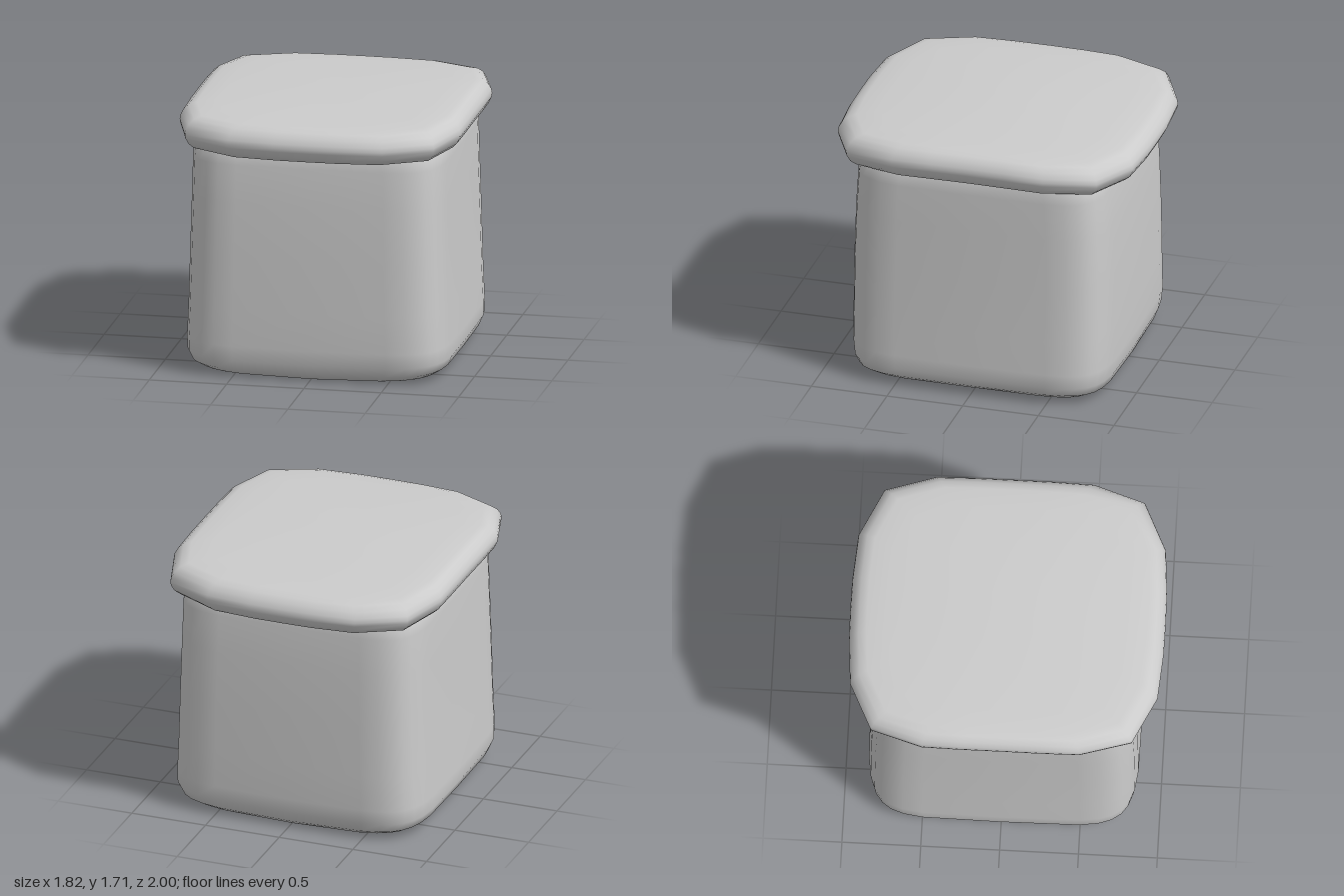
import * as THREE from 'three';

// Skins a stack of scaled outlines, bottom to top. Each ring is [scaleX, scaleZ, y];
// the first and last rings close to a single centre point. bend(x, y, z) adjusts the height.
function loft(outline, rings, bottomY, topY, bend) {
  const n = outline.length, pos = [], index = [];
  const add = (x, y, z) => pos.push(x, bend(x, y, z), z);
  for (const [sx, sz, y] of rings) for (const [x, z] of outline) add(x * sx, y, z * sz);
  add(0, bottomY, 0);
  add(0, topY, 0);
  const bottom = rings.length * n, top = bottom + 1, last = (rings.length - 1) * n;
  for (let j = 0; j < n; j++) {
    const k = (j + 1) % n;
    for (let i = 0; i < rings.length - 1; i++) {
      const a = i * n + j, b = i * n + k;
      index.push(a, a + n, b, b, a + n, b + n);
    }
    index.push(bottom, j, k, top, last + k, last + j);
  }
  const geo = new THREE.BufferGeometry();
  geo.setAttribute('position', new THREE.Float32BufferAttribute(pos, 3));
  geo.setIndex(index);
  geo.computeVertexNormals();
  return geo;
}

// Rounded square with slightly bulging sides
function superellipse(power, count) {
  const f = (v) => Math.sign(v) * Math.abs(v) ** (2 / power);
  return Array.from({ length: count }, (_, i) => {
    const t = (i / count) * Math.PI * 2;
    return [f(Math.cos(t)), f(Math.sin(t))];
  });
}

// Quarter outline from +x to +z, mirrored into a full loop
function mirrorQuarter(q) {
  const half = [...q, ...q.slice(0, -1).reverse().map(([x, z]) => [-x, z])];
  return [...half, ...half.slice(1, -1).reverse().map(([x, z]) => [x, -z])];
}

export function createModel() {
  const group = new THREE.Group();
  group.name = 'pouf';
  const material = new THREE.MeshStandardMaterial({ color: 0xcccccc });
  const addPart = (name, geo) => {
    const mesh = new THREE.Mesh(geo, material);
    mesh.name = name;
    group.add(mesh);
  };

  // Soft upholstered base, wider near the floor; the underside sags at front and back
  const bodyRings = [
    [0.4, 0.4, 0.03], [0.68, 0.68, 0.03], [0.78, 0.77, 0.035], [0.83, 0.825, 0.07], [0.855, 0.85, 0.13],
    [0.855, 0.86, 0.22], [0.845, 0.858, 0.45], [0.835, 0.855, 0.8], [0.825, 0.845, 1.15],
    [0.82, 0.83, 1.4], [0.81, 0.81, 1.52], [0.75, 0.75, 1.56],
  ];
  addPart('base', loft(superellipse(6, 32), bodyRings, 0.03, 1.56, (x, y, z) => {
    const fade = Math.max(0, 1 - y / 0.3);
    const sag = Math.min(1, (z / 0.76) ** 2) * Math.max(0, 1 - (x / 0.8) ** 2);
    return y - 0.032 * sag * fade;
  }));

  // Overhanging seat cushion with a rounded rim, drooping towards front and back
  const outline = mirrorQuarter([
    [0.912, 0], [0.912, 0.25], [0.907, 0.5], [0.805, 0.828], [0.5, 0.975], [0.2, 0.998], [0, 1],
  ]);
  const seatRings = [
    [0.5, 1.49], [0.8, 1.488], [0.89, 1.488], [0.94, 1.502], [0.975, 1.535], [0.995, 1.575], [1, 1.6],
    [0.995, 1.628], [0.975, 1.663], [0.94, 1.69], [0.89, 1.703], [0.75, 1.71], [0.5, 1.716], [0.25, 1.72],
  ].map(([s, y]) => [s, s, y]);
  addPart('seatCushion', loft(outline, seatRings, 1.49, 1.72, (x, y, z) => y - 0.028 * z * z));

  return group;
}
